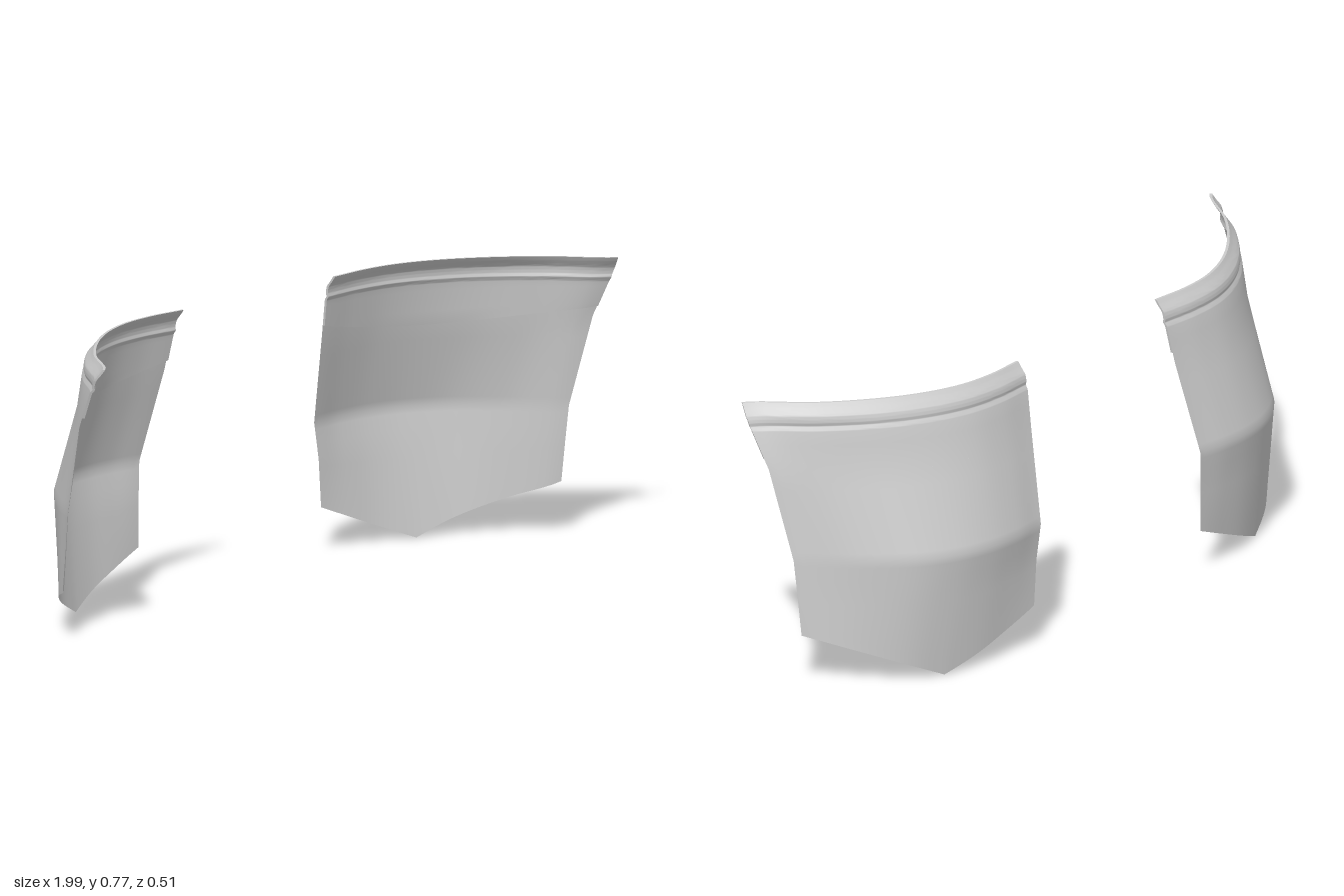
import * as THREE from 'three';
import { toCreasedNormals } from 'three/addons/utils/BufferGeometryUtils.js';

// Horizontal sections: height, inner x, outer x, then z at even steps across the panel
const SECTIONS = [
  [0.77, 0.290, 0.987, [-0.128, -0.134, -0.120, -0.075, 0.000, 0.105, 0.248]],
  [0.74, 0.291, 0.995, [-0.148, -0.154, -0.141, -0.096, -0.022, 0.086, 0.230]],
  [0.71, 0.292, 0.996, [-0.160, -0.166, -0.153, -0.110, -0.036, 0.074, 0.212]],
  [0.60, 0.302, 0.984, [-0.181, -0.188, -0.178, -0.136, -0.062, 0.043, 0.160]],
  [0.35, 0.335, 0.960, [-0.241, -0.252, -0.247, -0.218, -0.155, -0.042, 0.095]],
  [0.25, 0.345, 0.957, [-0.234, -0.237, -0.230, -0.202, -0.145, -0.040, 0.084]],
  [0.00, 0.350, 0.955, [-0.230, -0.220, -0.204, -0.170, -0.125, -0.040, 0.072]],
].map(([y, xi, xo, zs]) => ({
  y, xi, xo,
  curve: new THREE.SplineCurve(zs.map((z, i) => new THREE.Vector2(i / 6, z))),
}));

const COLS = 36;
const lerp = THREE.MathUtils.lerp;

// Pointed lower edge and sagging lower edge of the lining
const hemY = (u) => (u < 0.5 ? lerp(0.12, 0, u * 2) : lerp(0, 0.142, u * 2 - 1));
const liningY = (u) => 0.628 - 0.045 * Math.sin(Math.PI * u);

// Rounded top band with a stitched groove below it
const relief = (y) =>
  0.004 * Math.exp(-(((y - 0.738) / 0.016) ** 2)) - 0.005 * Math.exp(-(((y - 0.711) / 0.006) ** 2));

// Plain panel position at u across and height y
function panelXZ(u, y) {
  let k = 0;
  while (k < SECTIONS.length - 2 && y < SECTIONS[k + 1].y) k++;
  const a = SECTIONS[k], b = SECTIONS[k + 1];
  const low = k === SECTIONS.length - 2 ? hemY(u) : b.y;
  const t = (a.y - y) / (a.y - low);
  return new THREE.Vector2(
    lerp(lerp(a.xi, a.xo, u), lerp(b.xi, b.xo, u), t),
    lerp(a.curve.getPoint(u).y, b.curve.getPoint(u).y, t));
}

// Panel position pushed inwards by a thickness
function panelPoint(u, y, inset = 0) {
  const p = panelXZ(u, y);
  const d = panelXZ(Math.min(1, u + 0.01), y).sub(panelXZ(Math.max(0, u - 0.01), y)).normalize();
  const out = relief(y) - inset;
  return [p.x + d.y * out, y, p.y - d.x * out];
}

// Sheet from a grid of points; side -1 mirrors it
function sheet(name, rows, cols, side, at) {
  const pos = [], index = [];
  for (let j = 0; j < rows; j++) {
    for (let i = 0; i < cols; i++) {
      const [x, y, z] = at(side > 0 ? i : cols - 1 - i, j);
      pos.push(side * x, y, z);
      if (i && j) {
        const d = j * cols + i, c = d - 1, b = d - cols, a = b - 1;
        index.push(a, b, c, b, d, c);
      }
    }
  }
  const geo = new THREE.BufferGeometry();
  geo.setAttribute('position', new THREE.Float32BufferAttribute(pos, 3));
  geo.setIndex(index);
  const mesh = new THREE.Mesh(toCreasedNormals(geo, 0.7),
    new THREE.MeshStandardMaterial({ color: 0xcccccc, side: THREE.DoubleSide }));
  mesh.name = name;
  return mesh;
}

export function createModel() {
  const group = new THREE.Group();
  group.name = 'pocketPair';
  const bandYs = Array.from({ length: 25 }, (_, i) => 0.77 - i * 0.003);
  const bodyYs = [...bandYs, 0.66, 0.60, 0.54, 0.48, 0.42, 0.37, 0.35, 0.33, 0.29, 0.25];
  const lowerSteps = 6;

  for (const side of [1, -1]) {
    const pocket = new THREE.Group();
    pocket.name = side > 0 ? 'leftPocket' : 'rightPocket';

    // Outer panel, ending in a pointed hem
    pocket.add(sheet('pocketPanel', bodyYs.length + lowerSteps, COLS + 1, side, (i, j) => {
      const u = i / COLS;
      const y = j < bodyYs.length ? bodyYs[j]
        : lerp(0.25, hemY(u), (j - bodyYs.length + 1) / lowerSteps);
      return panelPoint(u, y);
    }));

    // Lining behind the top band; the first and last rows and columns close its edges
    const liningSteps = 6, rows = bandYs.length + liningSteps + 2, cols = COLS + 3;
    pocket.add(sheet('topLining', rows, cols, side, (i, j) => {
      const u = THREE.MathUtils.clamp((i - 1) / COLS, 0, 1);
      const r = THREE.MathUtils.clamp(j - 1, 0, rows - 3);
      const y = r < bandYs.length ? bandYs[r]
        : lerp(bandYs[bandYs.length - 1], liningY(u), (r - bandYs.length + 1) / liningSteps);
      const edge = i === 0 || j === 0 || i === cols - 1 || j === rows - 1;
      return panelPoint(u, y, edge ? 0 : 0.007);
    }));
    group.add(pocket);
  }
  return group;
}
